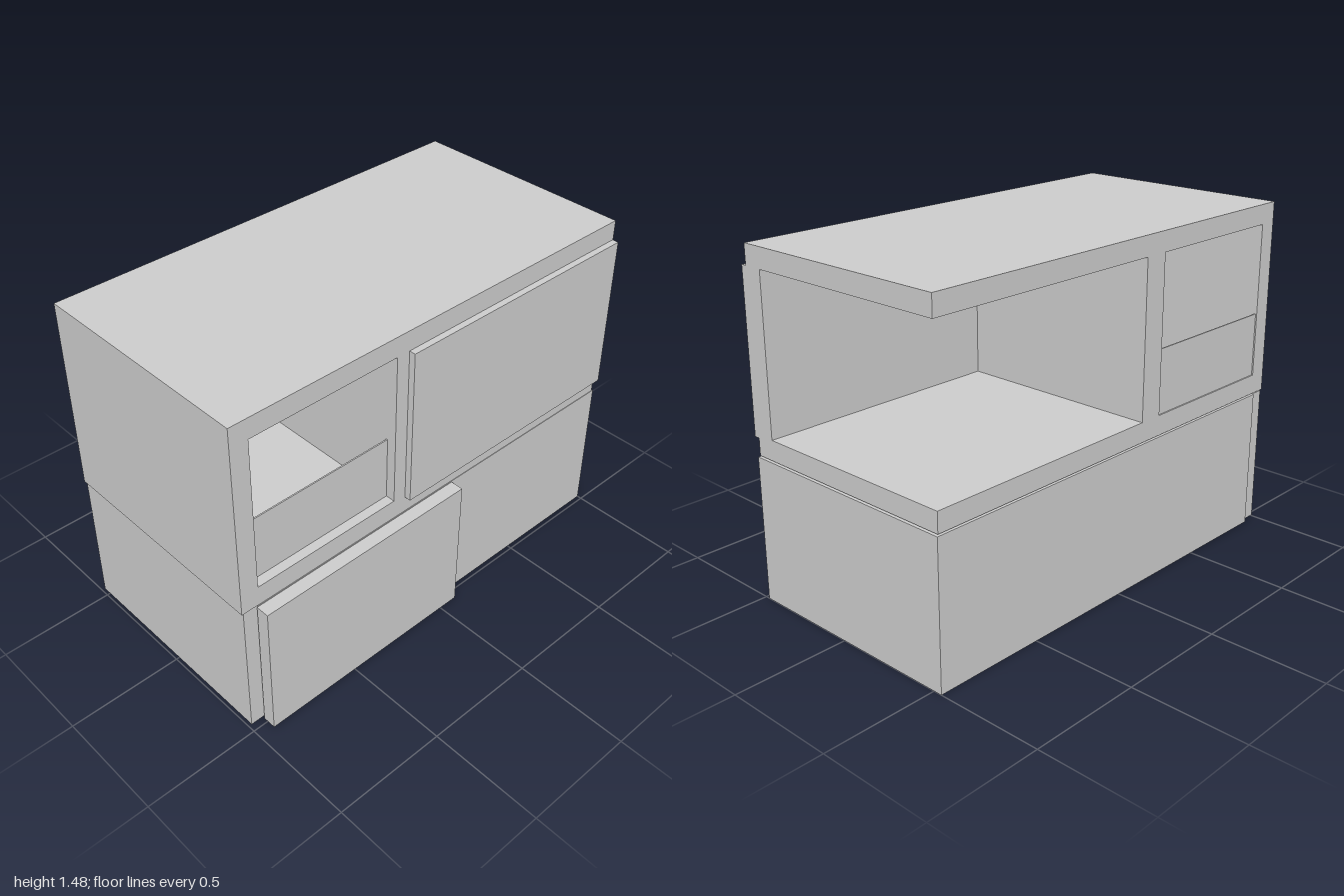
import * as THREE from 'three';

const material = new THREE.MeshStandardMaterial({ color: 0xcccccc, flatShading: true });

// Box given by its lower and upper limits on each axis
function block(name, [x0, x1], [y0, y1], [z0, z1]) {
  const mesh = new THREE.Mesh(new THREE.BoxGeometry(x1 - x0, y1 - y0, z1 - z0), material);
  mesh.position.set((x0 + x1) / 2, (y0 + y1) / 2, (z0 + z1) / 2);
  mesh.name = name;
  return mesh;
}

export function createModel() {
  const model = new THREE.Group();
  model.name = 'building';

  // Lower storey: solid volume, thin end wall and thicker front panel
  const lower = new THREE.Group();
  lower.name = 'lowerStorey';
  lower.add(
    block('lowerBody', [-0.925, 1], [0, 0.625], [-0.538, 0.48]),
    block('lowerEndWall', [-0.99, -0.925], [0.01, 0.625], [-0.53, 0.475]),
    block('lowerFrontPanel', [-0.93, 0.09], [0, 0.62], [0.48, 0.538]),
  );

  // Upper storey: frame open at the back and at the right end
  const upper = new THREE.Group();
  upper.name = 'upperStorey';
  const depth = [-0.53, 0.48], inside = [0.715, 1.39];
  upper.add(
    block('floorSlab', [-1, 0.99], [0.628, 0.715], depth),
    block('roofSlab', [-1, 0.99], [1.39, 1.477], depth),
    block('endWall', [-1, -0.92], inside, depth),
    block('dividingWall', [-0.24, -0.13], inside, depth),
    block('frontWall', [-0.13, 0.99], inside, [0.395, 0.48]),
    block('frontCladding', [-0.18, 0.988], [0.70, 1.39], [0.48, 0.508]),
  );

  // Thin balustrades at the front and back of the open bay
  for (const [name, z] of [['frontBalustrade', 0.435], ['backBalustrade', -0.521]]) {
    upper.add(block(name, [-0.92, -0.24], [0.715, 0.995], [z - 0.003, z + 0.003]));
  }

  model.add(lower, upper);
  return model;
}
